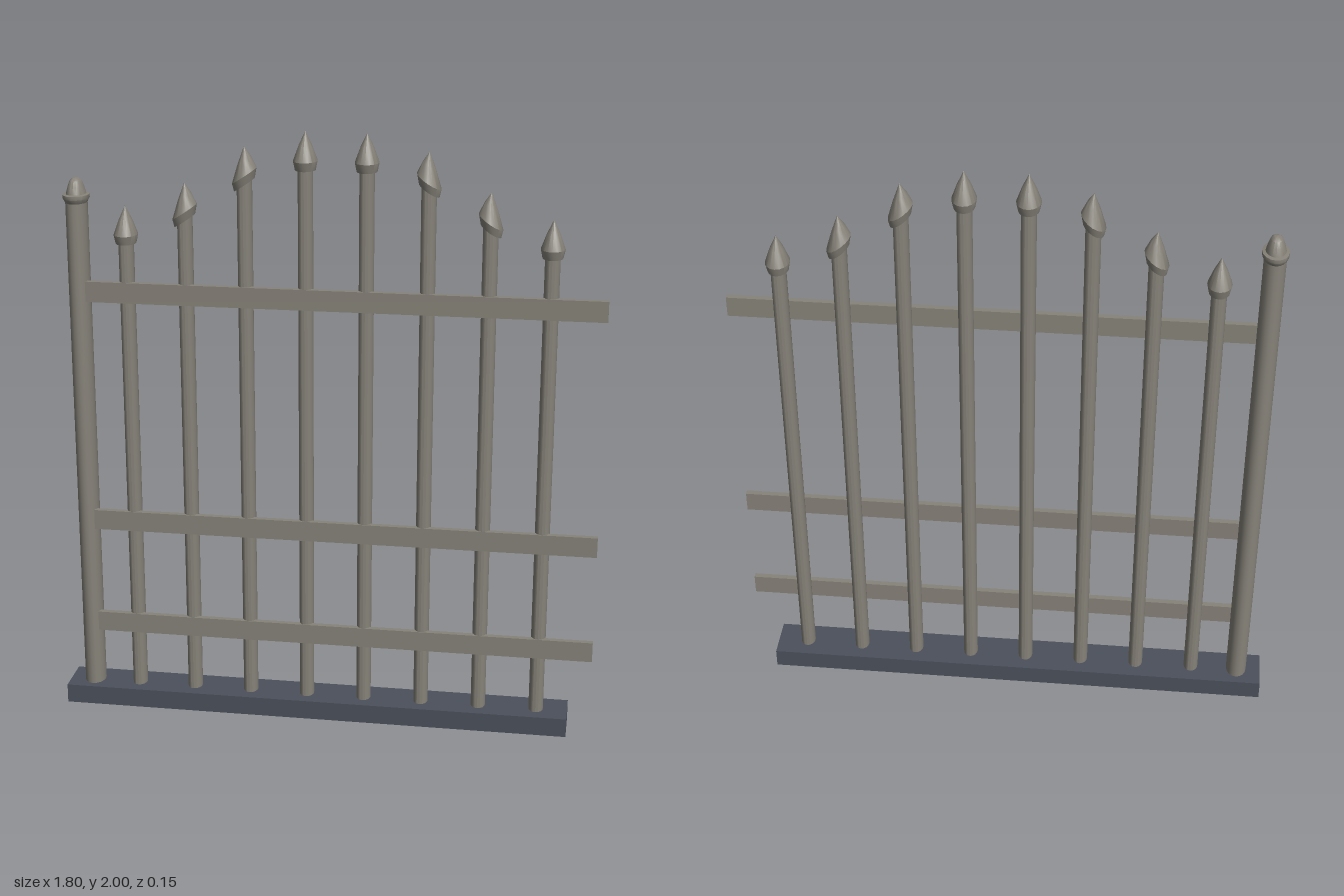
import * as THREE from 'three';
import { toCreasedNormals } from 'three/addons/utils/BufferGeometryUtils.js';

const Z_STRETCH = 1.33; // uprights are oval, deeper than wide

export function createModel() {
  const model = new THREE.Group();
  const iron = new THREE.MeshStandardMaterial({ color: 0x87837a });
  iron.name = 'weathered iron';
  const stone = new THREE.MeshStandardMaterial({ color: 0x4b505b });
  stone.name = 'slate base';

  const add = (parent, name, geometry, material, x = 0, y = 0, z = 0) => {
    const mesh = new THREE.Mesh(geometry, material);
    mesh.name = name;
    mesh.position.set(x, y, z);
    parent.add(mesh);
    return mesh;
  };

  // Oval turned shape from [radius, y] points; slant shears it up along x
  const turned = (points, slant = 0) => {
    const g = new THREE.LatheGeometry(points.map(([r, y]) => new THREE.Vector2(r, y)), 16);
    g.applyMatrix4(new THREE.Matrix4().set(
      1, 0, 0, 0,
      slant, 1, 0, 0,
      0, 0, Z_STRETCH, 0,
      0, 0, 0, 1));
    return toCreasedNormals(g, 0.6);
  };

  // Base: a rim around a hollow underside, closed by a top plate
  const base = new THREE.Group();
  base.name = 'base';
  base.position.set(-0.04, 0, -0.002);
  model.add(base);
  const L = 1.72, D = 0.146, wall = 0.027, H = 0.065, plate = 0.015;
  for (const s of [-1, 1]) {
    add(base, 'baseLongWall', new THREE.BoxGeometry(L, H - plate, wall), stone,
      0, (H - plate) / 2, s * (D - wall) / 2);
    add(base, 'baseEndWall', new THREE.BoxGeometry(wall, H - plate, D - 2 * wall), stone,
      s * (L - wall) / 2, (H - plate) / 2, 0);
  }
  add(base, 'baseTop', new THREE.BoxGeometry(L, plate, D), stone, 0, H - plate / 2, 0);

  // End post with a flared collar and domed cap
  const post = new THREE.Group();
  post.name = 'endPost';
  post.position.x = -0.816;
  model.add(post);
  add(post, 'postShaft', turned([[0, 0.03], [0.035, 0.03], [0.035, 1.757]]), iron);
  add(post, 'postCap', turned([
    [0, 1.752], [0.035, 1.752], [0.042, 1.766], [0.042, 1.778], [0.032, 1.78],
    [0.026, 1.803], [0.019, 1.822], [0.01, 1.83], [0, 1.832]]), iron);

  // Pickets rise toward the middle; those on the slope have slanted spearheads
  const tips = [1.745, 1.825, 1.947, 2, 2, 1.947, 1.825, 1.745];
  const slants = [0, 0.65, 0.65, 0, 0, -0.65, -0.65, 0];
  tips.forEach((tip, i) => {
    const picket = new THREE.Group();
    picket.name = `picket${i + 1}`;
    picket.position.x = -0.656 + i * 0.1958;
    model.add(picket);
    add(picket, 'picketShaft',
      turned([[0, 0.03], [0.0245, 0.03], [0.0245, tip - 0.1]]), iron);
    add(picket, 'spearhead', turned([
      [0, -0.122], [0.033, -0.122], [0.039, -0.093], [0.021, -0.044], [0, 0]],
      slants[i]), iron, 0, tip, 0);
  });

  // Three flat rails across the front of the pickets
  for (const y of [0.298, 0.671, 1.463]) {
    add(model, 'rail', new THREE.BoxGeometry(1.685, 0.068, 0.019), iron, 0.053, y, 0.0245);
  }

  return model;
}
